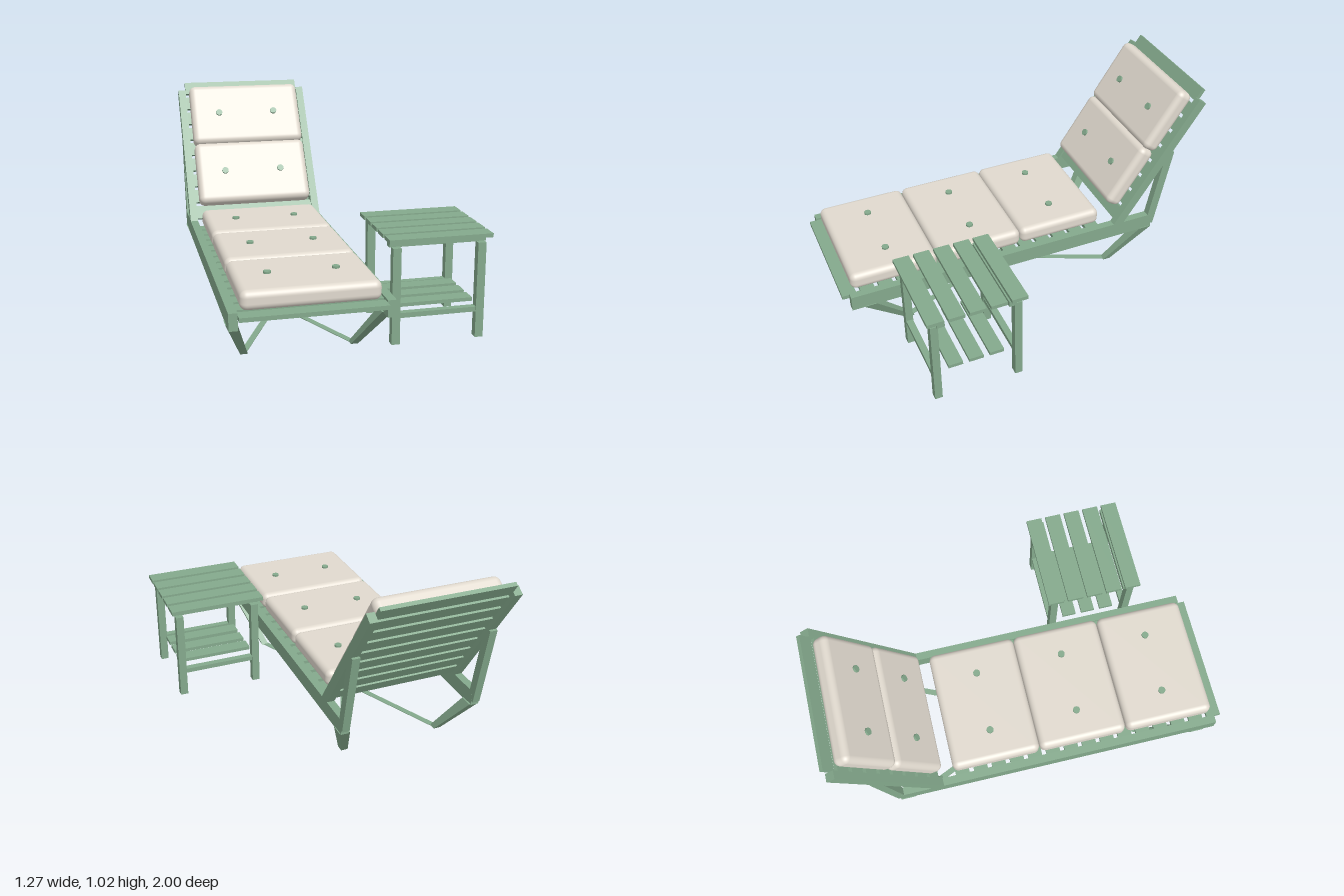
import * as THREE from 'three';
import { RoundedBoxGeometry } from 'three/addons/geometries/RoundedBoxGeometry.js';

const wood = new THREE.MeshStandardMaterial({ color: 0x84a98c });
wood.name = 'painted green wood';
const fabric = new THREE.MeshStandardMaterial({ color: 0xe0d9ce });
fabric.name = 'cream fabric';

function add(parent, name, geometry, material = wood) {
  const mesh = new THREE.Mesh(geometry, material);
  mesh.name = name;
  parent.add(mesh);
  return mesh;
}

// Box given by its limits on each axis
function box(parent, name, [x0, x1], [y0, y1], [z0, z1]) {
  const mesh = add(parent, name, new THREE.BoxGeometry(x1 - x0, y1 - y0, z1 - z0));
  mesh.position.set((x0 + x1) / 2, (y0 + y1) / 2, (z0 + z1) / 2);
  return mesh;
}

// Straight bar between two points, w wide and d deep
function bar(parent, name, a, b, w, d) {
  const from = new THREE.Vector3(...a), to = new THREE.Vector3(...b);
  const mesh = add(parent, name, new THREE.BoxGeometry(w, d, from.distanceTo(to)));
  mesh.position.copy(from).add(to).multiplyScalar(0.5);
  mesh.lookAt(to);
  return mesh;
}

// Leaning, tapered leg: a box whose ends are moved to a top and a foot rectangle
function leg(parent, name, side, topZ, footZ) {
  const geo = new THREE.BoxGeometry(1, 1, 1).toNonIndexed();
  const p = geo.attributes.position;
  for (let i = 0; i < p.count; i++) {
    const top = p.getY(i) > 0;
    const right = p.getX(i) > 0, front = p.getZ(i) > 0;
    const xs = top ? [0.32, 0.372] : [0.2425, 0.2775];
    const x = side > 0 ? xs[right ? 1 : 0] : -xs[right ? 0 : 1];
    p.setXYZ(i, x, top ? 0.24 : 0, (top ? topZ : footZ)[front ? 1 : 0]);
  }
  geo.computeVertexNormals();
  add(parent, name, geo);
}

// Cushion with two buttons; lies flat in xz with its base at y = 0
function cushion(length) {
  const group = new THREE.Group();
  group.name = 'cushion';
  const pad = add(group, 'pad', new RoundedBoxGeometry(0.625, 0.09, length, 5, 0.032), fabric);
  pad.position.y = 0.045;
  for (const side of [-1, 1]) {
    const button = add(group, 'button', new THREE.CylinderGeometry(0.018, 0.018, 0.02, 16));
    button.position.set(side * 0.157, 0.09, 0);
  }
  return group;
}

function createLounger() {
  const lounger = new THREE.Group();
  lounger.name = 'lounger';
  const inner = 0.3275, outer = 0.3675, pitch = 0.0962, slat = 0.073;

  // Reclined backrest, built upright: y runs up the back, z out of its front
  const back = new THREE.Group();
  back.name = 'backrest';
  back.position.set(0, 0.315, -0.49);
  back.rotation.x = -0.6;
  lounger.add(back);

  for (const side of [-1, 1]) {
    const xs = side > 0 ? [inner, outer] : [-outer, -inner];
    box(lounger, 'seatRail', xs, [0.235, 0.315], [-0.72, 0.965]);
    box(back, 'backRail', xs, [-0.01, 0.806], [-0.05, 0]);
    const mid = side * 0.3475;
    bar(lounger, 'backBrace', [mid, 0.26, -0.71], [mid, 0.7, -0.803], 0.039, 0.045);
    leg(lounger, 'rearLeg', side, [-0.72, -0.65], [-0.53, -0.49]);
    leg(lounger, 'frontLeg', side, [0.84, 0.905], [0.63, 0.67]);
    // Flat ties crossing between opposite feet
    bar(lounger, 'crossTie', [side * 0.26, 0.002, -0.51], [-side * 0.26, 0.002, 0.65], 0.03, 0.003);
  }

  // Slats of the seat and the back
  for (let i = 0; i < 15; i++) {
    const z = 1 - i * pitch;
    box(lounger, 'seatSlat', [-inner, inner], [0.285, 0.305], [z - slat, z]);
  }
  for (let i = 0; i < 9; i++) {
    const y = 0.86 - i * pitch;
    box(back, 'backSlat', [-inner, inner], [y - slat, y], [-0.03, -0.01]);
  }

  // Cushions
  for (const z of [0.717, 0.258, -0.199]) {
    const c = cushion(0.455);
    c.position.set(0, 0.307, z);
    lounger.add(c);
  }
  for (const y of [0.26, 0.618]) {
    const c = cushion(0.36);
    c.rotation.x = Math.PI / 2;
    c.position.set(0, y, -0.01);
    back.add(c);
  }
  return lounger;
}

function createTable() {
  const table = new THREE.Group();
  table.name = 'sideTable';
  // Table top
  for (let i = -2; i <= 2; i++) {
    const z = i * 0.104;
    box(table, 'topSlat', [-0.25, 0.25], [0.496, 0.515], [z - 0.041, z + 0.041]);
  }
  // Lower shelf
  for (let i = -1; i <= 1; i++) {
    const z = i * 0.106;
    box(table, 'shelfSlat', [-0.2, 0.2], [0.151, 0.169], [z - 0.037, z + 0.037]);
  }
  // Legs, aprons and stretchers
  for (const side of [-1, 1]) {
    const around = (c, h) => [side * c - h, side * c + h];
    box(table, 'apron', [-0.235, 0.235], [0.465, 0.496], around(0.178, 0.019));
    box(table, 'stretcher', [-0.19, 0.19], [0.129, 0.153], around(0.209, 0.017));
    for (const end of [-1, 1]) {
      box(table, 'tableLeg', [end * 0.206 - 0.02, end * 0.206 + 0.02], [0, 0.467], around(0.209, 0.019));
    }
  }
  return table;
}

export function createModel() {
  const model = new THREE.Group();
  model.name = 'sunLoungerSet';
  const lounger = createLounger();
  lounger.position.x = -0.2675;
  const table = createTable();
  table.position.set(0.382, 0, 0.498);
  model.add(lounger, table);
  return model;
}
